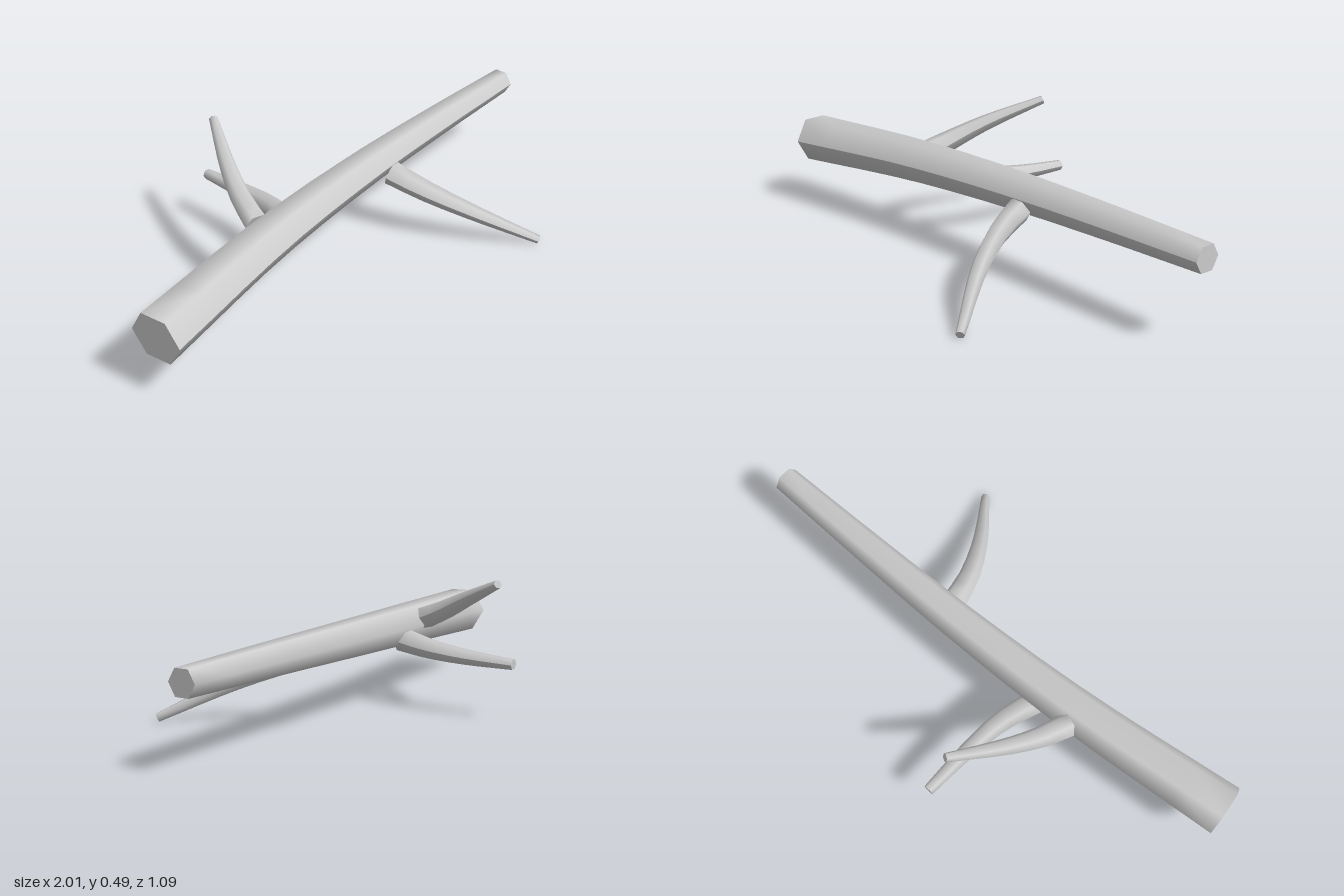
import * as THREE from 'three';

const SIDES = 6;

// Tapered six-sided limb swept along a curve, smooth with one hard seam and flat end caps
function limbGeometry(points, radii, rings) {
  const curve = new THREE.CatmullRomCurve3(points.map((p) => new THREE.Vector3(...p)));
  const up = new THREE.Vector3(0, 1, 0);
  const positions = [];
  const index = [];
  const row = SIDES + 1;

  const ring = (t) => {
    const centre = curve.getPointAt(t);
    const dir = curve.getTangentAt(t);
    const u = new THREE.Vector3().crossVectors(dir, up).normalize();
    const v = new THREE.Vector3().crossVectors(u, dir);
    const r = THREE.MathUtils.lerp(radii[0], radii[1], t);
    for (let j = 0; j <= SIDES; j++) {
      const a = (j / SIDES) * Math.PI * 2;
      const p = centre.clone().addScaledVector(u, r * Math.cos(a)).addScaledVector(v, r * Math.sin(a));
      positions.push(p.x, p.y, p.z);
    }
    return centre;
  };

  // Bark wall
  for (let i = 0; i <= rings; i++) {
    ring(i / rings);
    if (i === rings) break;
    for (let j = 0; j < SIDES; j++) {
      const a = i * row + j;
      const c = a + row;
      index.push(a, c, a + 1, a + 1, c, c + 1);
    }
  }

  // Cut ends, with their own vertices so they stay flat
  for (const t of [0, 1]) {
    const first = positions.length / 3;
    const centre = ring(t);
    const hub = positions.length / 3;
    positions.push(centre.x, centre.y, centre.z);
    for (let j = first; j < first + SIDES; j++) {
      if (t === 0) index.push(hub, j, j + 1);
      else index.push(hub, j + 1, j);
    }
  }

  const geometry = new THREE.BufferGeometry();
  geometry.setAttribute('position', new THREE.Float32BufferAttribute(positions, 3));
  geometry.setIndex(index);
  geometry.computeVertexNormals();
  return geometry;
}

export function createModel() {
  const bark = new THREE.MeshStandardMaterial({ color: 0xcccccc });
  bark.name = 'paleGreyBark';

  const limbs = [
    {
      name: 'trunk', radii: [0.095, 0.05], rings: 12,
      points: [[-1, 0.255, 0.025], [-0.4, 0.28, -0.016], [0.1, 0.29, -0.019], [0.55, 0.293, -0.002], [1, 0.292, 0.022]],
    },
    {
      name: 'frontBranch', radii: [0.046, 0.016], rings: 8,
      points: [[0.21, 0.25, 0.035], [0.24, 0.207, 0.16], [0.315, 0.137, 0.32], [0.46, 0.02, 0.535]],
    },
    {
      name: 'upperBackBranch', radii: [0.045, 0.016], rings: 8,
      points: [[-0.4, 0.305, -0.085], [-0.365, 0.345, -0.18], [-0.305, 0.398, -0.29], [-0.18, 0.48, -0.47]],
    },
    {
      name: 'lowerBackBranch', radii: [0.045, 0.02], rings: 8,
      points: [[-0.255, 0.24, -0.06], [-0.2, 0.225, -0.2], [-0.173, 0.213, -0.35], [-0.155, 0.205, -0.545]],
    },
  ];

  const model = new THREE.Group();
  model.name = 'branch';
  for (const { name, points, radii, rings } of limbs) {
    const mesh = new THREE.Mesh(limbGeometry(points, radii, rings), bark);
    mesh.name = name;
    model.add(mesh);
  }
  return model;
}
